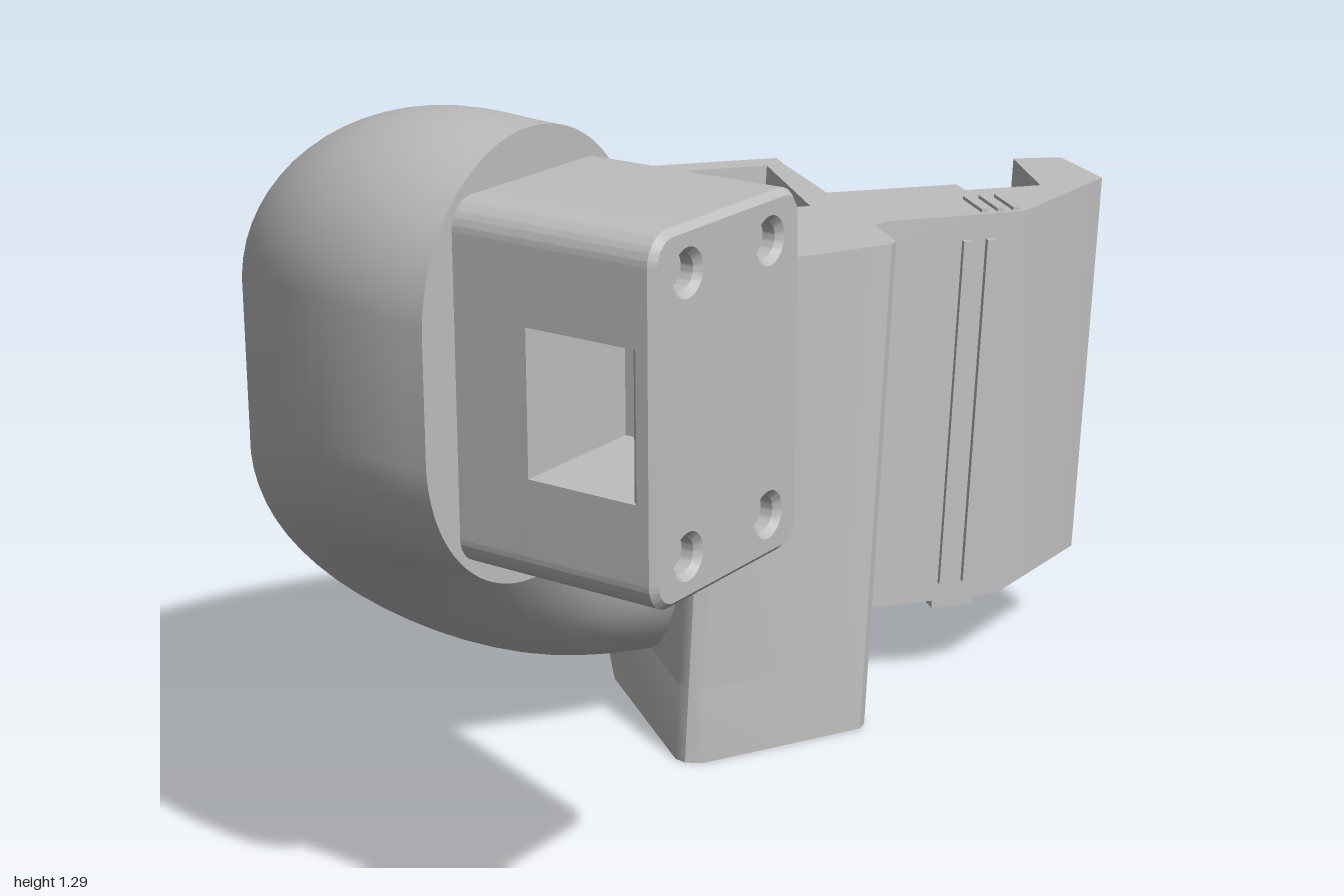
import * as THREE from 'three';
import { toCreasedNormals } from 'three/addons/utils/BufferGeometryUtils.js';

const grey = new THREE.MeshStandardMaterial({ color: 0xbebebe });
grey.name = 'grey plastic';

function add(group, name, geometry) {
  const mesh = new THREE.Mesh(toCreasedNormals(geometry, 0.6), grey);
  mesh.name = name;
  group.add(mesh);
  return mesh;
}

// Shape from points, and a rounded rectangle with separate top and bottom radii
const poly = (pts) => new THREE.Shape(pts.map(([x, y]) => new THREE.Vector2(x, y)));
function roundRect(x0, y0, x1, y1, rTop, rBottom, Type = THREE.Shape) {
  const s = new Type(), P = Math.PI;
  const corner = (x, y, r, a) => (r ? s.absarc(x, y, r, a, a + P / 2, false) : s.lineTo(x, y));
  s.moveTo(x1, y0 + rBottom);
  corner(x1 - rTop, y1 - rTop, rTop, 0);
  corner(x0 + rTop, y1 - rTop, rTop, P / 2);
  corner(x0 + rBottom, y0 + rBottom, rBottom, P);
  corner(x1 - rBottom, y0 + rBottom, rBottom, P * 1.5);
  return s;
}
function circle(x, y, r) {
  const p = new THREE.Path();
  p.absarc(x, y, r, 0, Math.PI * 2, true);
  return p;
}
const extrude = (shape, depth, extra = {}) =>
  new THREE.ExtrudeGeometry(shape, { depth, bevelEnabled: false, curveSegments: 16, ...extra });

// ---- Curved neck: rounded section swept round a bend while it sinks ----
function neckGeometry() {
  const rings = 48, sides = 56, bend = 0.53, half = 0.25, pos = [], idx = [];
  for (let i = 0; i <= rings; i++) {
    const t = i / rings, a = t * 134 * Math.PI / 180;
    const y = 0.945 - 0.485 * THREE.MathUtils.smootherstep(t, 0, 1);
    const straight = 0.09 + 0.01 * t + 0.045 * Math.sin(Math.PI * t) ** 2;
    for (let j = 0; j < sides; j++) {
      const p = (j + 0.5) / sides * Math.PI * 2, r = bend + half * Math.cos(p);
      pos.push(0.22 - r * Math.sin(a), y + half * Math.sin(p) + Math.sign(Math.sin(p)) * straight, 0.22 + r * Math.cos(a));
      if (i < rings) {
        const k = (j + 1) % sides, A = i * sides + j, B = i * sides + k;
        idx.push(A, B, A + sides, B, B + sides, A + sides);
      }
    }
  }
  const g = new THREE.BufferGeometry();
  g.setAttribute('position', new THREE.Float32BufferAttribute(pos, 3));
  g.setIndex(idx);
  g.computeVertexNormals();
  return g;
}

// ---- Connector block: sections drawn in (-z, y), extruded along x ----
function buildConnector(group) {
  const z0 = -0.93, z1 = -0.57, y0 = 0.675, y1 = 1.215, r = 0.045;
  const alongX = (name, shape, x0, x1, extra) =>
    add(group, name, extrude(shape, x1 - x0, extra).rotateY(Math.PI / 2).translate(x0, 0, 0));
  alongX('connectorRoot', roundRect(z0, y0, z1, y1, r, r), 0.2, 0.345);
  alongX('connectorTop', roundRect(z0, 1.055, z1, y1, r, 0), 0.345, 0.53);
  alongX('connectorBottom', roundRect(z0, y0, z1, 0.835, 0, r), 0.345, 0.53);
  // End cap with four screw holes
  const cap = roundRect(z0, y0, z1, y1, r, r);
  for (const z of [-0.85, -0.65]) for (const y of [0.742, 1.148]) cap.holes.push(circle(z, y, 0.026));
  alongX('connectorCap', cap, 0.53, 0.55,
    { bevelEnabled: true, bevelThickness: 0.01, bevelSize: 0.01, bevelOffset: -0.01, bevelSegments: 1 });
  // Back of the square recess with a round through hole
  const back = poly([[0.345, 0.835], [0.53, 0.835], [0.53, 1.055], [0.345, 1.055]]);
  back.holes.push(circle(0.437, 0.945, 0.063));
  add(group, 'recessBack', extrude(back, 0.13).translate(0, 0, 0.57));
}

// ---- Clamp head: local x runs along the arm, local z across it, leaning back ----
function buildHead(group) {
  const len = Math.hypot(0.65, 0.76), c = 0.65 / len, s = 0.76 / len, top = 0.885;
  const basis = new THREE.Matrix4().makeBasis(
    new THREE.Vector3(c, 0, -s), new THREE.Vector3(0, 1, 0), new THREE.Vector3(s, 0, c));
  const place = (name, g) => {
    g.applyMatrix4(basis);
    const p = g.attributes.position;
    for (let i = 0; i < p.count; i++) p.setZ(i, p.getZ(i) - 0.088 * (p.getY(i) - top));
    g.computeVertexNormals();
    return add(group, name, g);
  };
  const prism = (pts, y0, y1) =>
    extrude(poly(pts.map(([v, w]) => [v, -w])), y1 - y0).rotateX(-Math.PI / 2).translate(0, y0, 0);
  const box = (name, v, y, w, sv, sy, sw) =>
    place(name, new THREE.BoxGeometry(sv, sy, sw).translate(v, y, w));

  // Hollow body, open at the top
  const front = [[-0.012, 0.025], [0.0, 0.045], [0.03, 0.055], [0.34, -0.012], [0.354, -0.03], [0.352, -0.143]];
  place('body', prism([[-0.037, -0.62], ...front, [0.325, -0.62], [0.29, -0.62], [0.28, -0.3],
    [0.045, -0.3], [0.035, -0.62]], 0.135, top));
  // Side wall with a rounded window
  const wall = roundRect(-0.037, 0.135, 0.325, top, 0, 0.035);
  wall.holes.push(roundRect(0.0, 0.165, 0.29, 0.74, 0.14, 0.14, THREE.Path));
  place('windowWall', extrude(wall, 0.055).translate(0, 0, -0.672));
  box('pocketFloor', 0.15, 0.15, -0.46, 0.3, 0.025, 0.33);
  box('pocketDivider', 0.16, 0.5, -0.38, 0.02, 0.7, 0.16);
  // Base with a sloping underside
  const base = prism([[-0.035, -0.57], ...front, [0.33, -0.57]], 0, 0.14);
  const p = base.attributes.position;
  for (let i = 0; i < p.count; i++)
    if (p.getY(i) < 0.07 && p.getZ(i) < -0.56) p.setZ(i, -0.35 - 0.22 * p.getX(i));
  place('base', base);

  // Arm with a hooked end, and a lower block along its left side
  place('arm', prism([[0.32, -0.12], [0.352, -0.143], [0.385, -0.16], [0.62, -0.165], [0.65, -0.172], [0.872, -0.361],
    [0.858, -0.536], [0.766, -0.55], [0.739, -0.338], [0.32, -0.338]], 0.165, top));
  place('armBlock', prism([[0.32, -0.33], [0.655, -0.33], [0.648, -0.538], [0.32, -0.54]], 0.165, top - 0.04));
  box('hookFloor', 0.7, 0.183, -0.435, 0.12, 0.036, 0.2);
  // Grip ribs on both sides and on top
  for (const v of [0.535, 0.58]) box('rightRib', v, 0.52, -0.163, 0.018, 0.64, 0.022);
  for (const v of [0.42, 0.47]) box('leftRib', v, 0.5, -0.54, 0.018, 0.6, 0.022);
  for (const v of [0.57, 0.6, 0.63]) box('topRib', v, top + 0.002, -0.225, 0.012, 0.008, 0.1);
  box('lowerTab', 0.56, 0.158, -0.2, 0.08, 0.02, 0.06);
  // Round studs on the shoulder
  for (const [y, w] of [[0.52, -0.07], [0.045, -0.33]])
    place('stud', new THREE.CylinderGeometry(0.03, 0.03, 0.02, 20).rotateZ(Math.PI / 2).translate(0.345, y, w));
}

export function createModel() {
  const model = new THREE.Group();
  model.name = 'curvedBracket';
  add(model, 'neck', neckGeometry());
  const face = roundRect(-1, 0.605, -0.5, 1.285, 0.25, 0.25);
  add(model, 'neckEndFace', new THREE.ShapeGeometry(face, 24).rotateY(Math.PI / 2).translate(0.22, 0, 0));
  buildConnector(model);
  buildHead(model);
  return model;
}
